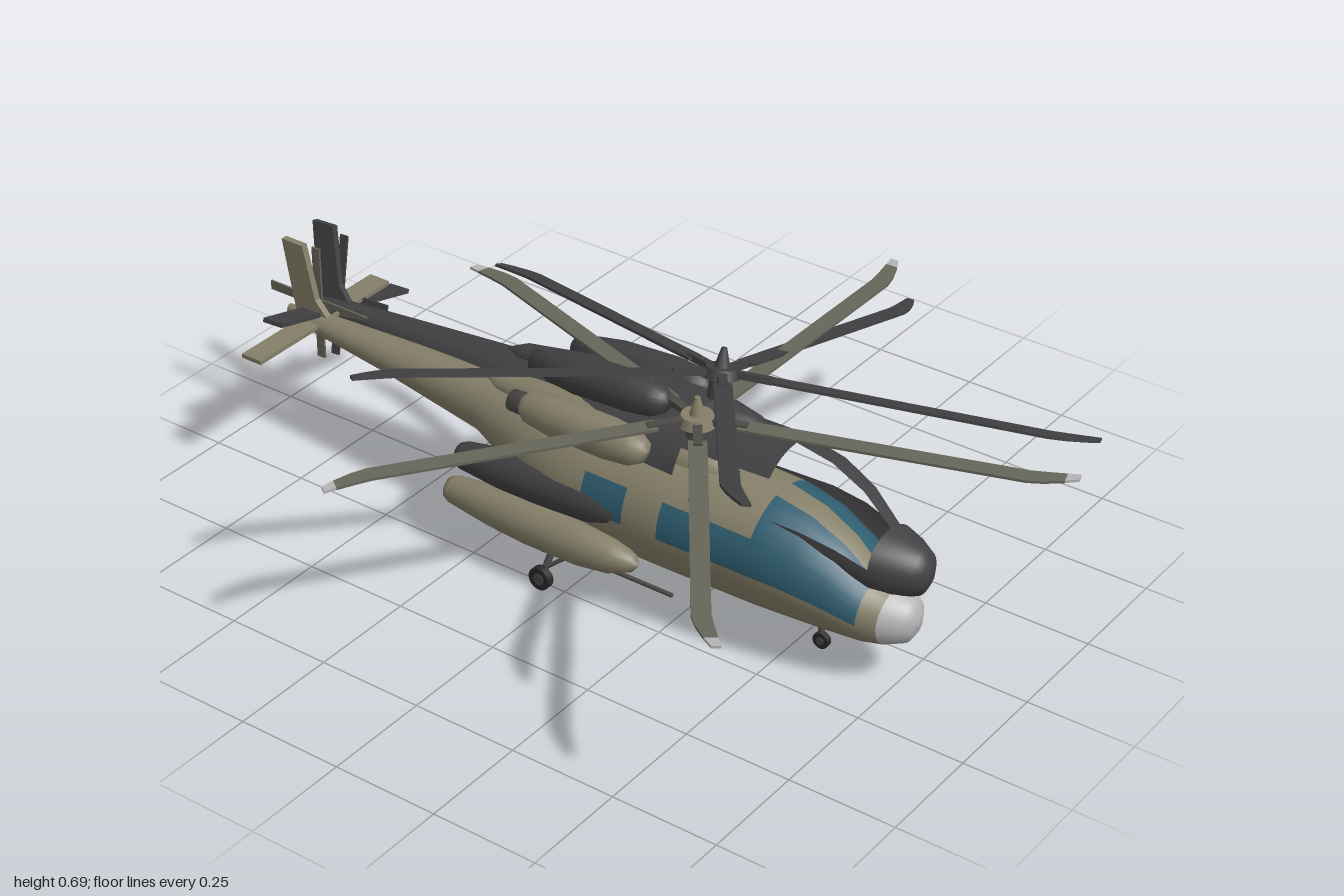
import * as THREE from 'three';

const paint = (name, color, side = THREE.FrontSide) => {
  const m = new THREE.MeshStandardMaterial({ color, side });
  m.name = name;
  return m;
};

// Fuselage stations: z, half width, bottom, top
const STATIONS = [
  [0.786, 0.001, 0.155, 0.157], [0.782, 0.025, 0.13, 0.182], [0.77, 0.048, 0.11, 0.205],
  [0.73, 0.075, 0.095, 0.225], [0.69, 0.092, 0.09, 0.238], [0.62, 0.115, 0.087, 0.298],
  [0.54, 0.132, 0.085, 0.338], [0.45, 0.143, 0.083, 0.358], [0.23, 0.147, 0.081, 0.365],
  [0.14, 0.147, 0.081, 0.365], [0.03, 0.146, 0.082, 0.365], [-0.04, 0.143, 0.087, 0.363],
  [-0.12, 0.128, 0.11, 0.36], [-0.2, 0.1, 0.155, 0.355], [-0.32, 0.068, 0.215, 0.35],
  [-0.6, 0.045, 0.262, 0.342], [-0.82, 0.028, 0.288, 0.335], [-0.9, 0.01, 0.305, 0.33],
  [-0.905, 0.001, 0.317, 0.319]
];
const SEG = 32;

// Group 0 is skin, 1 is glass, 2 is radome
function fuselageGeometry(withGlass) {
  const pos = [], faces = [[], [], []];
  for (const [z, hw, yb, yt] of STATIONS)
    for (let j = 0; j < SEG; j++) {
      const t = (j / SEG) * Math.PI * 2;
      pos.push(hw * Math.sin(t), (yb + yt) / 2 + ((yt - yb) / 2) * Math.cos(t), z);
    }
  for (let i = 0; i < STATIONS.length - 1; i++) {
    const z = STATIONS[i][0], zn = STATIONS[i + 1][0];
    for (let j = 0; j < SEG; j++) {
      const side = Math.min(j, SEG - 1 - j);
      const canopy = z <= 0.69 && zn >= 0.45 && side >= 1 && side < 8;
      const cabin = (z === 0.45 || z === 0.14) && side >= 5 && side < 8;
      const k = zn >= 0.73 ? 2 : canopy || cabin ? 1 : 0;
      const a = i * SEG + j, b = i * SEG + (j + 1) % SEG;
      faces[k].push(a, b, a + SEG, b, b + SEG, a + SEG);
    }
  }
  if (!withGlass) faces[1] = [];
  const g = new THREE.BufferGeometry();
  g.setAttribute('position', new THREE.Float32BufferAttribute(pos, 3));
  g.setIndex(faces.flat());
  let start = 0;
  faces.forEach((f, k) => { g.addGroup(start, f.length, k); start += f.length; });
  g.computeVertexNormals();
  return g;
}

// Spindle along z from [radius, z] pairs, listed back to front
const spindle = pts => new THREE.LatheGeometry(pts.map(p => new THREE.Vector2(...p)), 20).rotateX(Math.PI / 2);

// Flat plate with outline points, thickness centred on its plane
function plate(points, depth) {
  const s = new THREE.Shape(points.map(p => new THREE.Vector2(...p)));
  return new THREE.ExtrudeGeometry(s, { depth, bevelEnabled: false }).translate(0, 0, -depth / 2);
}

function add(parent, name, geometry, material, x = 0, y = 0, z = 0) {
  const m = new THREE.Mesh(geometry, material);
  m.name = name;
  m.position.set(x, y, z);
  parent.add(m);
  return m;
}

function rod(parent, name, material, from, to, r) {
  const a = new THREE.Vector3(...from), b = new THREE.Vector3(...to), d = b.clone().sub(a);
  const m = add(parent, name, new THREE.CylinderGeometry(r, r, d.length(), 10), material);
  m.position.copy(a).add(b).multiplyScalar(0.5);
  m.quaternion.setFromUnitVectors(new THREE.Vector3(0, 1, 0), d.normalize());
}

function wheel(parent, name, mats, x, r, z, w) {
  add(parent, name, new THREE.CylinderGeometry(r, r, w, 18).rotateZ(Math.PI / 2), mats.tyre, x, r, z);
  add(parent, name + 'Hub', new THREE.CylinderGeometry(r * 0.5, r * 0.5, w + 0.004, 12).rotateZ(Math.PI / 2), mats.metal, x, r, z);
}

function helicopter(name, mats, withGlass) {
  const g = new THREE.Group();
  g.name = name;
  add(g, 'fuselage', fuselageGeometry(withGlass), [mats.skin, mats.glass, mats.radome]);

  // Roof fairing under the mast
  add(g, 'roofFairing', spindle([[0.001, -0.34], [0.03, -0.28], [0.055, -0.1], [0.06, 0.1], [0.055, 0.25], [0.035, 0.33], [0.001, 0.36]])
    .scale(1, 0.85, 1), mats.skin, 0, 0.345, 0);

  for (const s of [1, -1]) {
    // Engines with exhausts
    add(g, 'engine', spindle([[0.022, -0.17], [0.036, -0.15], [0.045, -0.08], [0.046, 0.06], [0.04, 0.12], [0.024, 0.15], [0.001, 0.158]]),
      mats.skin, s * 0.075, 0.37, 0);
    add(g, 'exhaust', spindle([[0.001, -0.19], [0.024, -0.2], [0.026, -0.15]]), mats.metal, s * 0.075, 0.37, 0);
    // Side sponsons
    add(g, 'sponson', spindle([[0.001, -0.325], [0.026, -0.323], [0.032, -0.31], [0.045, -0.2], [0.051, -0.1], [0.05, 0.04], [0.04, 0.12], [0.02, 0.17], [0.001, 0.185]]),
      mats.skin, s * 0.145, 0.135, 0);
    rod(g, 'sideProbe', mats.metal, [s * 0.155, 0.105, 0.08], [s * 0.155, 0.105, 0.28], 0.005);
    // Main gear
    rod(g, 'mainStrut', mats.metal, [s * 0.14, 0.1, -0.04], [s * 0.172, 0.03, -0.05], 0.008);
    rod(g, 'mainBrace', mats.metal, [s * 0.135, 0.1, 0.02], [s * 0.165, 0.045, -0.05], 0.005);
    wheel(g, 'mainWheel', mats, s * 0.178, 0.027, -0.05, 0.018);
  }
  // Nose gear
  rod(g, 'noseStrut', mats.metal, [0, 0.1, 0.55], [0, 0.025, 0.555], 0.007);
  wheel(g, 'noseWheel', mats, 0, 0.019, 0.555, 0.014);

  // Main rotor
  add(g, 'mast', new THREE.CylinderGeometry(0.02, 0.03, 0.1, 14), mats.metal, 0, 0.405, 0.23);
  const rotor = new THREE.Group();
  rotor.name = 'mainRotor';
  rotor.position.set(0, 0.445, 0.23);
  g.add(rotor);
  add(rotor, 'rotorHub', new THREE.CylinderGeometry(0.035, 0.042, 0.022, 18), mats.skin);
  add(rotor, 'rotorCap', new THREE.CylinderGeometry(0.006, 0.018, 0.045, 12), mats.skin, 0, 0.03, 0);
  const blade = plate([[0.09, -0.02], [0.7, -0.02], [0.735, -0.012], [0.775, 0.004], [0.775, 0.032],
    [0.735, 0.025], [0.7, 0.02], [0.09, 0.02]], 0.006).rotateX(-Math.PI / 2);
  const tip = plate([[0.775, 0.004], [0.802, 0.018], [0.802, 0.037], [0.775, 0.032]], 0.006).rotateX(-Math.PI / 2);
  for (let i = 0; i < 5; i++) {
    const arm = new THREE.Group();
    arm.name = 'rotorArm';
    arm.rotation.y = (i * Math.PI * 2) / 5;
    rotor.add(arm);
    add(arm, 'bladeRoot', new THREE.BoxGeometry(0.08, 0.014, 0.02), mats.metal, 0.07, 0, 0);
    add(arm, 'blade', blade, mats.blade);
    add(arm, 'bladeTip', tip, mats.tip);
  }

  // Tail fin and stabiliser
  const fin = plate([[0.77, 0.32], [0.87, 0.31], [0.905, 0.5], [0.845, 0.5], [0.815, 0.37]], 0.016).rotateY(Math.PI / 2);
  add(g, 'tailFin', fin, mats.skin);
  add(g, 'stabiliser', new THREE.BoxGeometry(0.44, 0.01, 0.055), mats.skin, 0, 0.318, -0.82);

  // Tail rotor
  const tail = new THREE.Group();
  tail.name = 'tailRotor';
  tail.position.set(0.048, 0.325, -0.855);
  g.add(tail);
  add(tail, 'tailRotorHub', new THREE.CylinderGeometry(0.012, 0.012, 0.05, 12).rotateZ(Math.PI / 2), mats.metal, -0.02, 0, 0);
  for (let i = 0; i < 4; i++) {
    const b = add(tail, 'tailBlade', new THREE.BoxGeometry(0.005, 0.13, 0.022).translate(0, 0.077, 0), mats.blade);
    b.rotation.x = (i * Math.PI) / 2;
  }
  return g;
}

export function createModel() {
  const tan = paint('tan', 0x857f69), olive = paint('olive', 0x67665a), glass = paint('blueGlass', 0x2f5d70);
  const grey = paint('lightGrey', 0xb4b4b4), metal = paint('metal', 0x4c4b48), tyre = paint('tyre', 0x2a2a2a);
  const dark = paint('charcoal', 0x414143, THREE.DoubleSide);

  const model = new THREE.Group();
  model.name = 'helicopters';
  // Complete painted aircraft
  const whole = helicopter('paintedHelicopter', { skin: tan, glass, radome: grey, blade: olive, tip: grey, metal, tyre }, true);
  whole.position.set(-0.09, 0, 0);
  // Charcoal aircraft with open windows, tilted through the first
  const burnt = helicopter('charcoalHelicopter',
    { skin: dark, glass: dark, radome: dark, blade: dark, tip: dark, metal: dark, tyre }, false);
  burnt.position.set(-0.089, 0.055, 0.01);
  burnt.rotation.set(-0.06, 0, -0.248);
  model.add(whole, burnt);
  return model;
}
